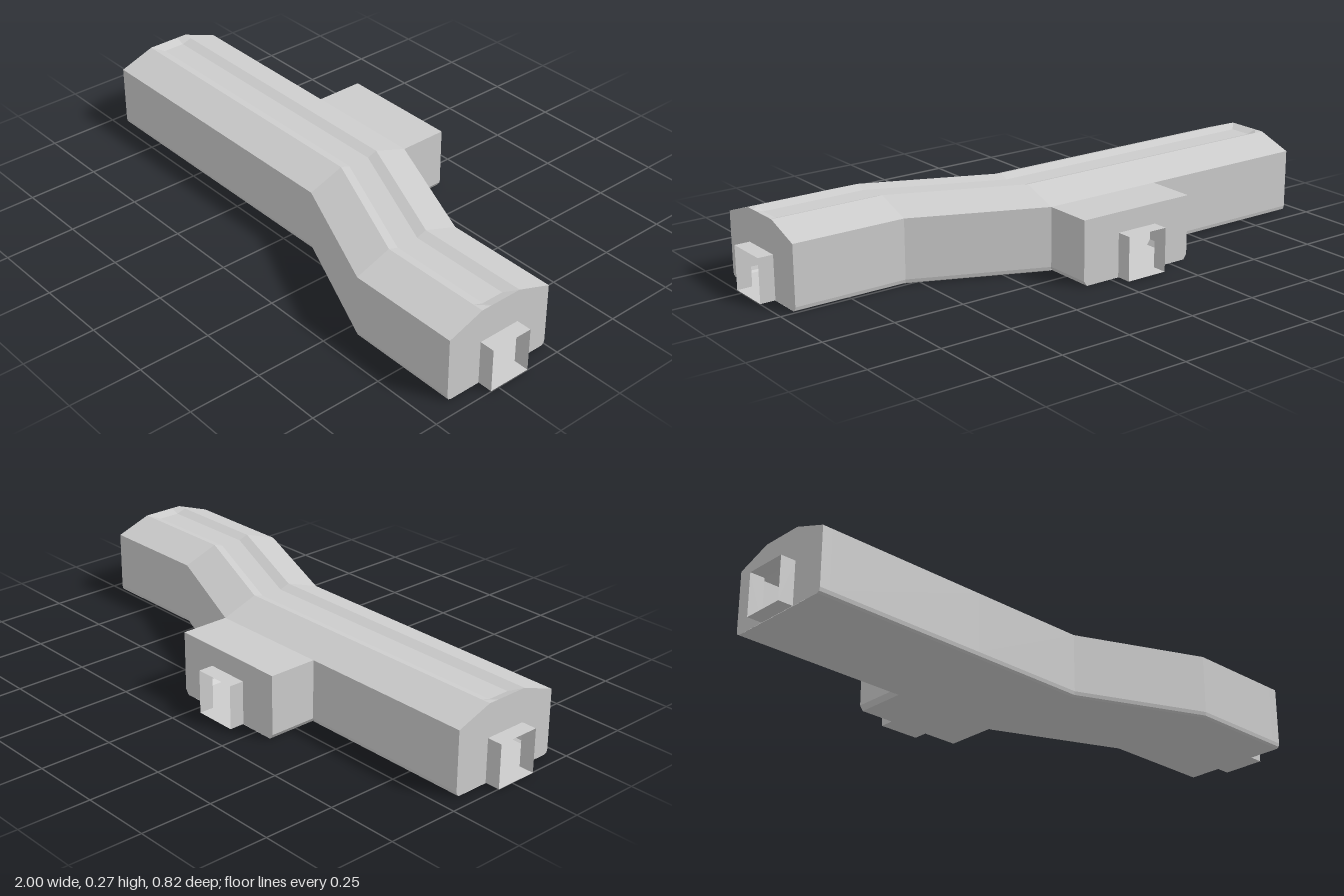
import * as THREE from 'three';

const material = new THREE.MeshStandardMaterial({
  color: 0xcccccc, flatShading: true, side: THREE.DoubleSide,
});

function part(name, geometry) {
  const mesh = new THREE.Mesh(geometry, material);
  mesh.name = name;
  return mesh;
}

// Joins successive closed rings of [x, y, z] points; skip(station, edge) leaves openings.
function loft(rings, skip = () => false) {
  const pos = [];
  for (let s = 0; s < rings.length - 1; s++) {
    const a = rings[s], b = rings[s + 1];
    for (let i = 0; i < a.length; i++) {
      if (skip(s, i)) continue;
      const j = (i + 1) % a.length;
      pos.push(...a[i], ...b[i], ...b[j], ...a[i], ...b[j], ...a[j]);
    }
  }
  const g = new THREE.BufferGeometry();
  g.setAttribute('position', new THREE.Float32BufferAttribute(pos, 3));
  g.computeVertexNormals();
  return g;
}

const DOOR_HALF = 0.076, DOOR_TOP = 0.155, DOOR_DEPTH = 0.053;

// Wall panel with a doorway notch, plus the short open sleeve around the doorway; faces +z.
function portal(name, outline) {
  const group = new THREE.Group();
  group.name = name;
  const notch = [[-DOOR_HALF, 0.004], [-DOOR_HALF, DOOR_TOP], [DOOR_HALF, DOOR_TOP], [DOOR_HALF, 0.004]];
  const shape = new THREE.Shape([...outline, ...notch].map(([x, y]) => new THREE.Vector2(x, y)));
  group.add(part('endWall', new THREE.ShapeGeometry(shape)));
  const sleeve = [...notch].reverse();
  // ring runs right-bottom, right-top, left-top, left-bottom, so reverse it for outward faces
  const ring = (z) => [...sleeve].reverse().map(([x, y]) => [x, y, z]);
  group.add(part('doorSleeve', loft([ring(0), ring(DOOR_DEPTH)])));
  return group;
}

export function createModel() {
  const model = new THREE.Group();
  model.name = 'corridorModule';

  // Main hull: chamfered section swept along a path that jogs sideways
  const W = 0.2025;
  const section = (dip) => [
    [-0.19, 0.003], [0.19, 0.003], [W - 0.003, 0.008], [W, 0.02], [W, 0.225],
    [0.076, 0.27], [0.04, 0.27 - dip], [-0.04, 0.27 - dip], [-0.076, 0.27],
    [-W, 0.225], [-W, 0.02], [-W + 0.003, 0.008],
  ];
  const dip = 0.012;
  const path = [ // x, z, depth of the roof channel
    [-0.95, 0.016, 0], [-0.915, 0.016, dip], [-0.325, 0.016, dip], [0.108, 0.016, dip],
    [0.548, 0.204, dip], [0.912, 0.204, dip], [0.947, 0.204, 0],
  ];
  const rings = path.map(([x, zc, d]) => section(d).map(([z, y]) => [x, y, zc + z]));
  // the rear wall is open where the side bay joins
  model.add(part('hull', loft(rings, (s, i) => s === 2 && i >= 9)));

  // End portals
  const endOutline = section(0).slice(1, 10)
    .concat([[-W, 0.02], [-W + 0.003, 0.008], [-0.19, 0.003]]);
  for (const [name, x, z, turn] of [
    ['leftPortal', 0.947, 0.204, Math.PI / 2],
    ['rightPortal', -0.95, 0.016, -Math.PI / 2],
  ]) {
    const p = portal(name, endOutline);
    p.position.set(x, 0, z);
    p.rotation.y = turn;
    model.add(p);
  }

  // Side bay at the back with its own portal
  const B = 0.2165, bayX = -0.1085, bayZ = -0.358;
  const bayOutline = [[B - 0.012, 0.003], [B, 0.02], [B, 0.225], [-B, 0.225], [-B, 0.02], [-B + 0.012, 0.003]];
  const bayRing = (z) => [
    bayOutline[0], bayOutline[5], bayOutline[4], bayOutline[3], bayOutline[2], bayOutline[1],
  ].map(([x, y]) => [bayX + x, y, z]);
  model.add(part('sideBay', loft([bayRing(bayZ), bayRing(-0.174)], (s, i) => false)));
  const backPortal = portal('backPortal', bayOutline);
  backPortal.position.set(bayX, 0, bayZ);
  backPortal.rotation.y = Math.PI;
  model.add(backPortal);

  return model;
}
